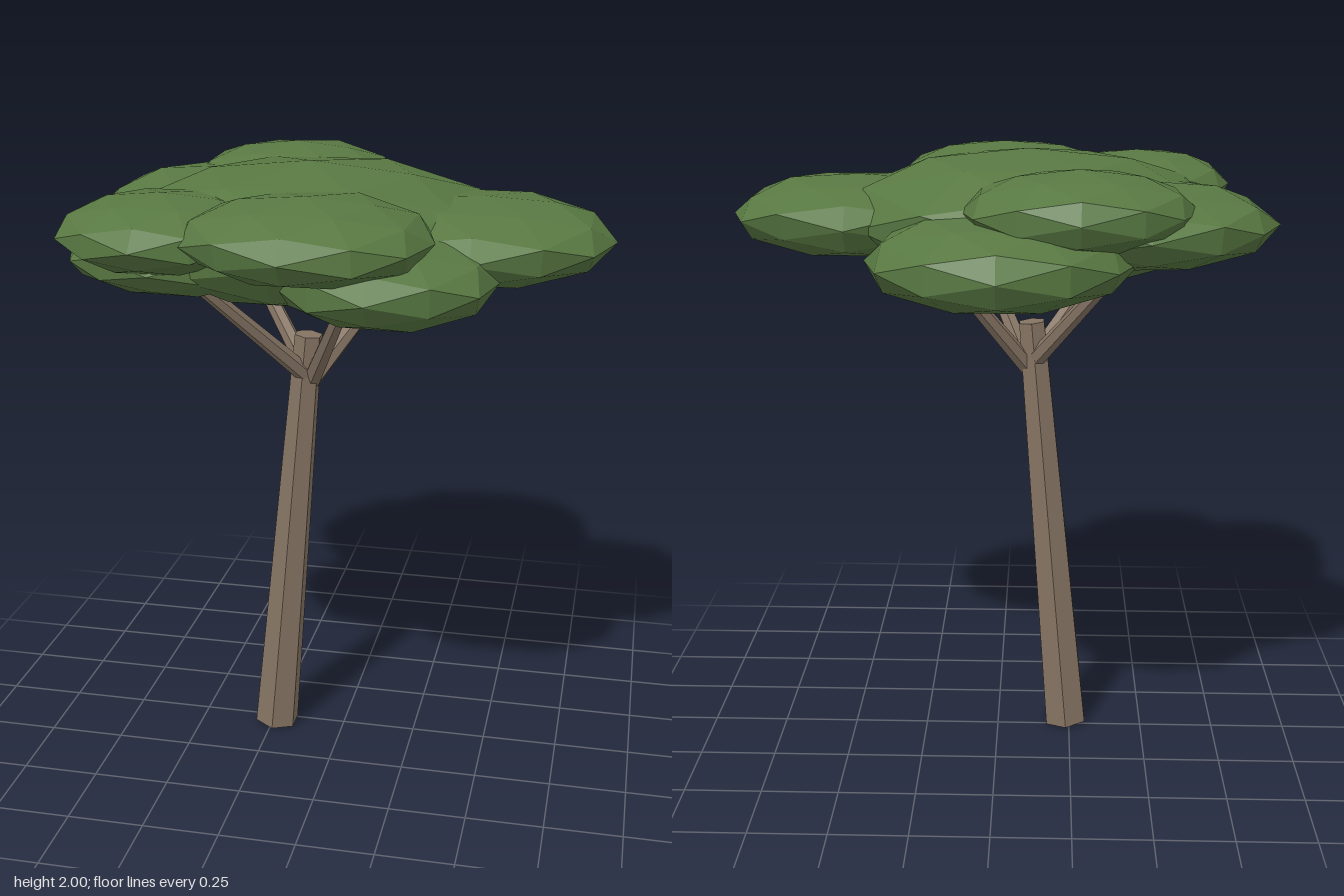
import * as THREE from 'three';

const bark = new THREE.MeshStandardMaterial({ color: 0x857463, flatShading: true });
bark.name = 'bark brown';
const leaf = new THREE.MeshStandardMaterial({ color: 0x587842, flatShading: true });
leaf.name = 'leaf green';

// Tapered six-sided limb between two points
function limb(name, from, to, r0, r1) {
  const a = new THREE.Vector3(...from), b = new THREE.Vector3(...to);
  const dir = b.clone().sub(a);
  const mesh = new THREE.Mesh(new THREE.CylinderGeometry(r1, r0, dir.length(), 6), bark);
  mesh.quaternion.setFromUnitVectors(new THREE.Vector3(0, 1, 0), dir.normalize());
  mesh.position.copy(a).add(b).multiplyScalar(0.5);
  mesh.name = name;
  return mesh;
}

// Flattened, slightly uneven leaf clump
function clump(name, [x, y, z], [rx, ry, rz], seed) {
  const geo = new THREE.IcosahedronGeometry(1, 1);
  const p = geo.attributes.position, v = new THREE.Vector3();
  for (let i = 0; i < p.count; i++) {
    v.fromBufferAttribute(p, i);
    const wobble = Math.sin(v.x * 5.1 + seed) * Math.sin(v.y * 4.3 + seed * 2) * Math.sin(v.z * 4.7 + seed * 3);
    v.multiplyScalar(1 + 0.04 * wobble);
    p.setXYZ(i, v.x * rx, v.y * ry, v.z * rz);
  }
  geo.computeVertexNormals();
  const mesh = new THREE.Mesh(geo, leaf);
  mesh.position.set(x, y, z);
  mesh.name = name;
  return mesh;
}

export function createModel() {
  const tree = new THREE.Group();
  tree.name = 'tree';

  // Leaning trunk
  tree.add(limb('trunk', [-0.238, 0.007, 0.03], [-0.11, 1.442, 0.03], 0.077, 0.047));

  // Four branches spreading into the canopy
  const branches = [[0.3, -0.2], [0.2, 0.31], [-0.32, 0.31], [-0.31, -0.26]];
  branches.forEach(([dx, dz], i) =>
    tree.add(limb('branch' + (i + 1), [-0.1, 1.29, 0.03], [-0.1 + dx, 1.7, 0.03 + dz], 0.031, 0.021)));

  // Canopy: one broad middle clump ringed by smaller ones
  const canopy = new THREE.Group();
  canopy.name = 'canopy';
  const clumps = [
    ['middleClump', [-0.1, 1.787, 0.03], [0.61, 0.213, 0.6]],
    ['leftClump', [0.45, 1.79, 0.05], [0.4, 0.13, 0.4]],
    ['frontClump', [-0.01, 1.86, 0.49], [0.375, 0.12, 0.355]],
    ['frontRightClump', [-0.46, 1.845, 0.41], [0.315, 0.115, 0.31]],
    ['rightClump', [-0.45, 1.8, -0.22], [0.4, 0.13, 0.41]],
    ['backRightClump', [-0.25, 1.865, -0.43], [0.35, 0.12, 0.32]],
    ['backClump', [-0.02, 1.725, -0.46], [0.4, 0.14, 0.395]],
    ['lowFrontLeftClump', [0.2, 1.73, 0.38], [0.345, 0.135, 0.34]],
    ['lowRightClump', [-0.46, 1.745, 0.28], [0.34, 0.11, 0.29]],
  ];
  clumps.forEach(([name, centre, radii], i) => canopy.add(clump(name, centre, radii, i * 1.7)));
  tree.add(canopy);

  return tree;
}
